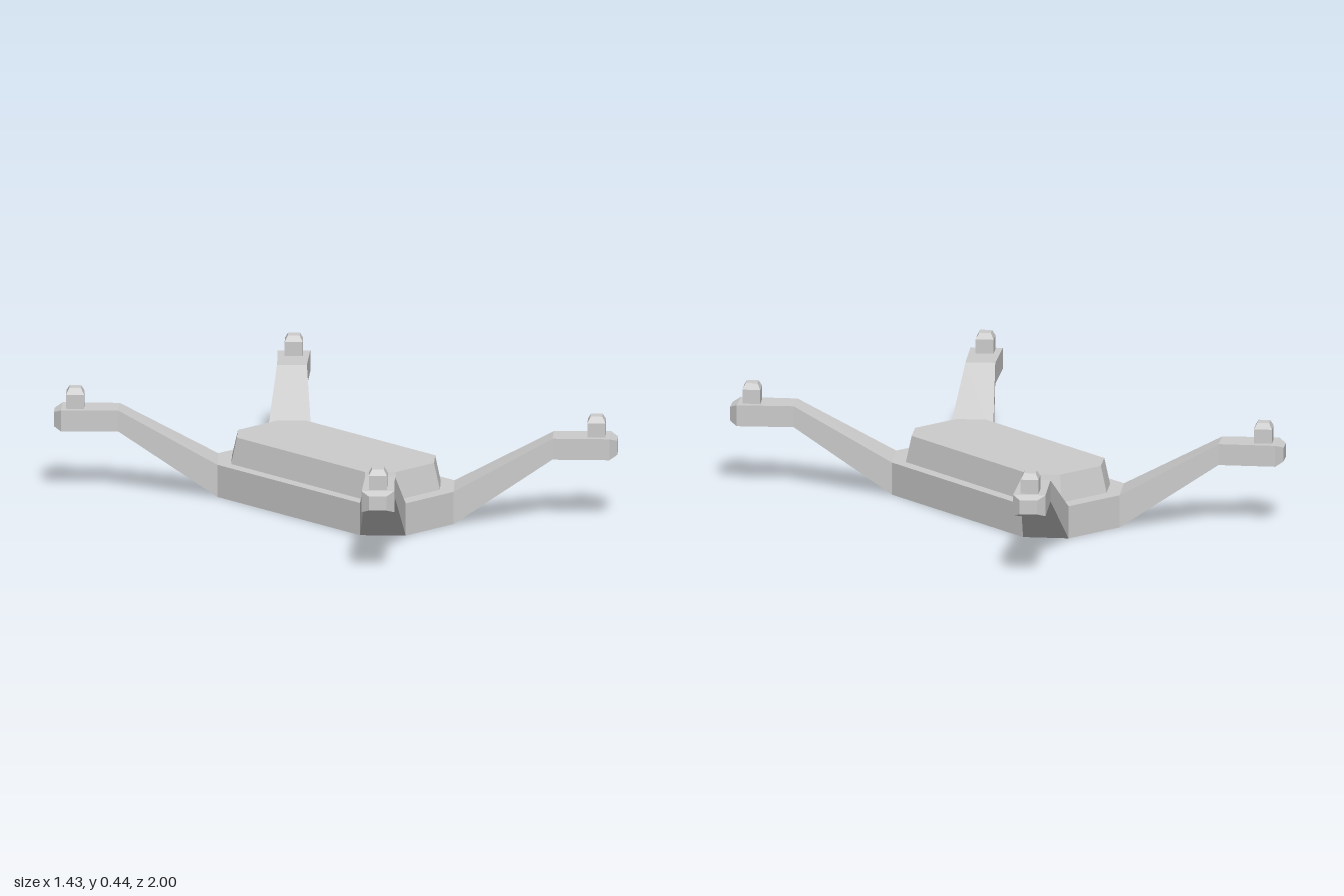
import * as THREE from 'three';

const material = new THREE.MeshStandardMaterial({ color: 0xcccccc, flatShading: true });

// Skin a list of equal-sized rings, each counterclockwise about the direction of travel.
function loft(rings, { capStart = true, flip = false } = {}) {
  const n = rings[0].length, index = [];
  const tri = (a, b, c) => index.push(...(flip ? [a, c, b] : [a, b, c]));
  for (let r = 0; r < rings.length - 1; r++) {
    for (let i = 0; i < n; i++) {
      const a = r * n + i, b = r * n + (i + 1) % n;
      tri(a, b, b + n);
      tri(a, b + n, a + n);
    }
  }
  const last = (rings.length - 1) * n;
  for (let i = 1; i < n - 1; i++) {
    if (capStart) tri(0, i + 1, i);
    tri(last, last + i, last + i + 1);
  }
  const geometry = new THREE.BufferGeometry();
  geometry.setAttribute('position', new THREE.Float32BufferAttribute(rings.flat(2), 3));
  geometry.setIndex(index);
  const flat = geometry.toNonIndexed();
  flat.computeVertexNormals();
  return flat;
}

// Rectangle with cut corners: half sizes X, Z and the ends cx, cz of the straight sides.
function octagon(y, X, Z, cx, cz) {
  return [[X, cz], [X, -cz], [cx, -Z], [-cx, -Z], [-X, -cz], [-X, cz], [-cx, Z], [cx, Z]]
    .map(([x, z]) => [x, y, z]);
}

function addMesh(parent, name, geometry) {
  const mesh = new THREE.Mesh(geometry, material);
  mesh.name = name;
  parent.add(mesh);
  return mesh;
}

// Arm sections: inner edge x, z; outer edge x, z; bottom y; top y
const armSections = [
  [0.137, 0.565, 0.27, 0.43, 0, 0.138],
  [0.45, 0.83, 0.54, 0.745, 0.27, 0.36],
  [0.615, 1.0, 0.713, 0.907, 0.27, 0.36],
  [0.66, 1.0, 0.713, 0.95, 0.285, 0.345],
];

function createArm(sx, sz) {
  const arm = new THREE.Group();
  arm.name = (sz > 0 ? 'front' : 'back') + (sx > 0 ? 'Left' : 'Right') + 'Arm';
  const rings = armSections.map(([px, pz, qx, qz, low, high]) => [
    [sx * px, low, sz * pz], [sx * qx, low, sz * qz],
    [sx * qx, high, sz * qz], [sx * px, high, sz * pz],
  ]);
  addMesh(arm, 'strut', loft(rings, { capStart: false, flip: sx * sz < 0 }));

  // Square peg with a bevelled top, turned to follow the arm
  const diamond = (y, r) => [[r, y, 0], [0, y, -r], [-r, y, 0], [0, y, r]];
  const peg = addMesh(arm, 'peg', loft([diamond(0.355, 0.053), diamond(0.42, 0.053), diamond(0.445, 0.035)]));
  peg.position.set(sx * 0.625, 0, sz * 0.913);
  return arm;
}

export function createModel() {
  const model = new THREE.Group();
  model.name = 'quadFrame';

  // Central body: straight-sided base and tapered deck
  addMesh(model, 'base', loft([octagon(0, 0.27, 0.565, 0.137, 0.43), octagon(0.138, 0.27, 0.565, 0.137, 0.43)]));
  addMesh(model, 'deck', loft([octagon(0.138, 0.22, 0.5, 0.12, 0.4), octagon(0.25, 0.2, 0.475, 0.11, 0.387)]));

  // Four mirrored arms
  for (const sx of [1, -1]) for (const sz of [1, -1]) model.add(createArm(sx, sz));
  return model;
}
